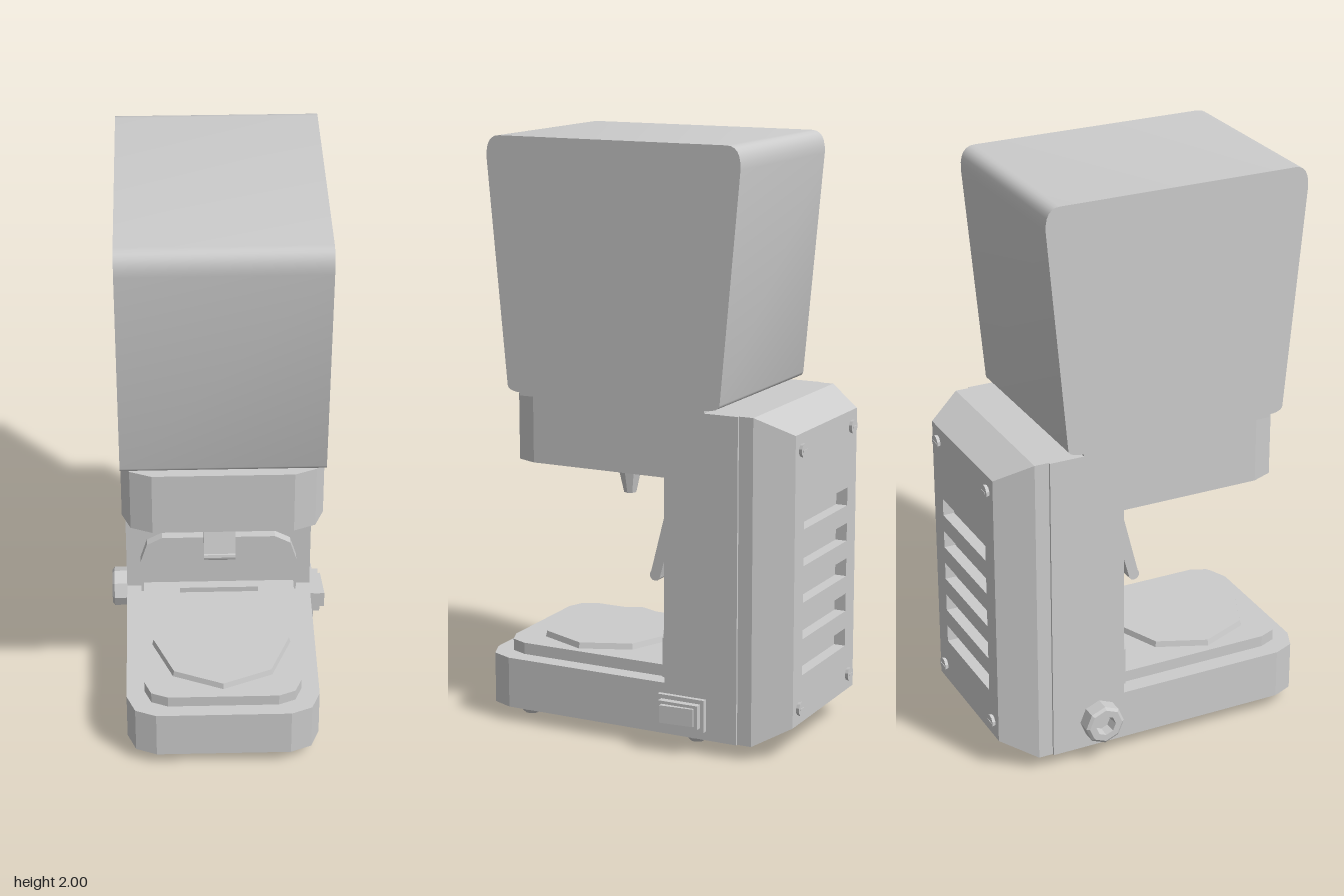
import * as THREE from 'three';
import { toCreasedNormals } from 'three/addons/utils/BufferGeometryUtils.js';

const flat = new THREE.MeshStandardMaterial({ color: 0xcccccc, flatShading: true });
const smooth = new THREE.MeshStandardMaterial({ color: 0xcccccc });
const W = 0.329; // half width of the body

export function createModel() {
  const model = new THREE.Group();
  const body = new THREE.Group();
  body.name = 'coffeeGrinder';
  body.position.x = -0.004;
  model.add(body);

  const add = (name, geo, x = 0, y = 0, z = 0, mat = flat) => {
    const mesh = new THREE.Mesh(geo, mat);
    mesh.name = name;
    mesh.position.set(x, y, z);
    body.add(mesh);
    return mesh;
  };
  // Box given by its limits on each axis
  const box = (name, x0, x1, y0, y1, z0, z1) =>
    add(name, new THREE.BoxGeometry(x1 - x0, y1 - y0, z1 - z0), (x0 + x1) / 2, (y0 + y1) / 2, (z0 + z1) / 2);
  const cyl = (name, rTop, rBottom, y0, y1, sides, x, z) =>
    add(name, new THREE.CylinderGeometry(rTop, rBottom, y1 - y0, sides), x, (y0 + y1) / 2, z);
  const polygon = (pts) => new THREE.Shape(pts.map(([x, y]) => new THREE.Vector2(x, y)));
  const rect = (x0, x1, y0, y1) => polygon([[x0, y0], [x1, y0], [x1, y1], [x0, y1]]);
  const extrude = (shape, depth, curveSegments = 6) =>
    new THREE.ExtrudeGeometry(shape, { depth, bevelEnabled: false, curveSegments });
  // Side profile in (z, y), swept across x
  const sideProfile = (shape, halfWidth) =>
    extrude(shape, halfWidth * 2).translate(0, 0, -halfWidth).rotateY(-Math.PI / 2);

  // Slab whose two front corners are rounded with two facets each
  const slab = (name, w, zBack, zFront, y0, y1, r, hole) => {
    const c = r * Math.SQRT1_2;
    const corner = [[w, zFront - r], [w - r + c, zFront - r + c], [w - r, zFront]];
    const pts = [[w, zBack], [-w, zBack], ...corner.map(([x, z]) => [-x, z]), ...corner.slice().reverse()];
    const shape = polygon(pts.map(([x, z]) => [x, -z]));
    if (hole) shape.holes.push(hole);
    return add(name, extrude(shape, y1 - y0).rotateX(-Math.PI / 2), 0, y0, 0);
  };

  // Base, head and column
  slab('base', W, -0.2, 0.57, 0.05, 0.225, 0.1);
  slab('head', W, -0.2, 0.46, 0.92, 1.145, 0.1);
  box('column', -W, W, 0.05, 1.145, -0.39, -0.127);
  box('rearSeam', -0.321, 0.321, 0.05, 1.145, -0.44, -0.385);

  // Tray with a drain slot, and the round plate on it
  slab('tray', 0.268, -0.1, 0.523, 0.22, 0.265, 0.08, rect(-0.14, 0.14, 0.035, 0.06));
  cyl('plate', 0.235, 0.24, 0.265, 0.285, 8, 0, 0.245);

  // Splash guard behind the tray
  const guard = polygon([[-0.278, 0.22], [0.278, 0.22], [0.278, 0.36], [0.255, 0.435], [0.2, 0.465],
    [-0.2, 0.465], [-0.255, 0.435], [-0.278, 0.36]]);
  add('splashGuard', extrude(guard, 0.04), 0, 0, -0.135);

  // Rear cover: four sloping walls around a slotted panel
  const ring = (x, y0, y1, z) => [[-x, y0, z], [x, y0, z], [x, y1, z], [-x, y1, z]];
  const inner = ring(0.321, 0.05, 1.145, -0.44);
  const outer = ring(0.252, 0.11, 1.085, -0.557);
  const walls = [];
  for (let i = 0; i < 4; i++) {
    const j = (i + 1) % 4;
    walls.push(...inner[i], ...outer[i], ...inner[j], ...inner[j], ...outer[i], ...outer[j]);
  }
  const wallGeo = new THREE.BufferGeometry();
  wallGeo.setAttribute('position', new THREE.Float32BufferAttribute(walls, 3));
  wallGeo.computeVertexNormals();
  const wallMat = flat.clone();
  wallMat.side = THREE.DoubleSide;
  add('rearCover', wallGeo, 0, 0, 0, wallMat);

  const panel = rect(-0.252, 0.252, 0.11, 1.085);
  for (let i = 0; i < 5; i++) {
    const top = 0.825 - i * 0.123;
    panel.holes.push(rect(-0.18, 0.18, top - 0.062, top));
  }
  add('ventPanel', extrude(panel, 0.04), 0, 0, -0.557);
  box('ventBacking', -0.22, 0.22, 0.2, 0.9, -0.517, -0.5);

  // Panel screws with a slotted head
  for (const x of [-0.205, 0.205]) {
    for (const y of [0.165, 1.03]) {
      const screw = cyl('screw', 0.025, 0.02, 0, 0.02, 10, x, 0);
      screw.rotation.x = -Math.PI / 2;
      screw.position.set(x, y, -0.559);
      box('screwSlot', x - 0.015, x + 0.015, y - 0.003, y + 0.003, -0.571, -0.565);
    }
  }

  // Hopper: rounded tapering side profile
  const hopper = new THREE.Shape();
  hopper.moveTo(0.41, 1.143);
  hopper.lineTo(0.41, 1.153);
  hopper.quadraticCurveTo(0.455, 1.155, 0.457, 1.175);
  hopper.lineTo(0.524, 1.925);
  hopper.quadraticCurveTo(0.527, 2, 0.475, 2);
  hopper.lineTo(-0.345, 2);
  hopper.quadraticCurveTo(-0.397, 2, -0.394, 1.925);
  hopper.lineTo(-0.325, 1.175);
  hopper.quadraticCurveTo(-0.322, 1.155, -0.27, 1.153);
  hopper.lineTo(-0.27, 1.143);
  add('hopper', toCreasedNormals(sideProfile(hopper, W), 0.5), 0, 0, 0, smooth);

  // Outlet under the head
  cyl('outletFlange', 0.116, 0.116, 0.895, 0.925, 8, 0, 0.172);
  cyl('outletNut', 0.08, 0.075, 0.865, 0.9, 8, 0, 0.172);
  cyl('outletNozzle', 0.045, 0.022, 0.77, 0.87, 8, 0, 0.172);

  // Lever hanging from its pivot
  const lever = polygon([[-0.082, 0.9], [0.031, 0.495], [0.066, 0.505], [-0.035, 0.9]]);
  add('lever', sideProfile(lever, 0.055));
  const crossBar = (name, r, y, z) =>
    add(name, new THREE.CylinderGeometry(r, r, 0.11, 12).rotateZ(Math.PI / 2), 0, y, z);
  crossBar('leverPivot', 0.036, 0.915, -0.055);
  crossBar('leverTip', 0.02, 0.502, 0.049);

  // Power switch on the left side
  box('switchFrame', 0.32, 0.345, 0.08, 0.19, -0.28, -0.11);
  box('switchBezel', 0.34, 0.368, 0.095, 0.176, -0.267, -0.124);
  const rocker = polygon([[0.35, 0.255], [0.35, 0.137], [0.386, 0.137], [0.377, 0.255]]);
  add('switchRocker', extrude(rocker, 0.06).rotateX(-Math.PI / 2), 0, 0.106, 0);

  // Adjusting knob on the right side, with a hollow centre
  const knobPts = [[0, 0], [0.07, 0], [0.07, 0.05], [0.06, 0.058], [0.036, 0.058], [0.032, 0.02], [0, 0.02]];
  const knob = new THREE.LatheGeometry(knobPts.map(([r, y]) => new THREE.Vector2(r, y)), 8);
  add('knob', knob.rotateZ(Math.PI / 2), -0.326, 0.15, -0.22);

  // Feet
  const footPts = [[0, 0], [0.024, 0.004], [0.04, 0.02], [0.044, 0.035], [0.036, 0.055]];
  for (const x of [-0.218, 0.218]) {
    for (const z of [0.445, -0.195]) {
      add('foot', new THREE.LatheGeometry(footPts.map(([r, y]) => new THREE.Vector2(r, y)), 12), x, 0, z);
    }
  }
  return model;
}
